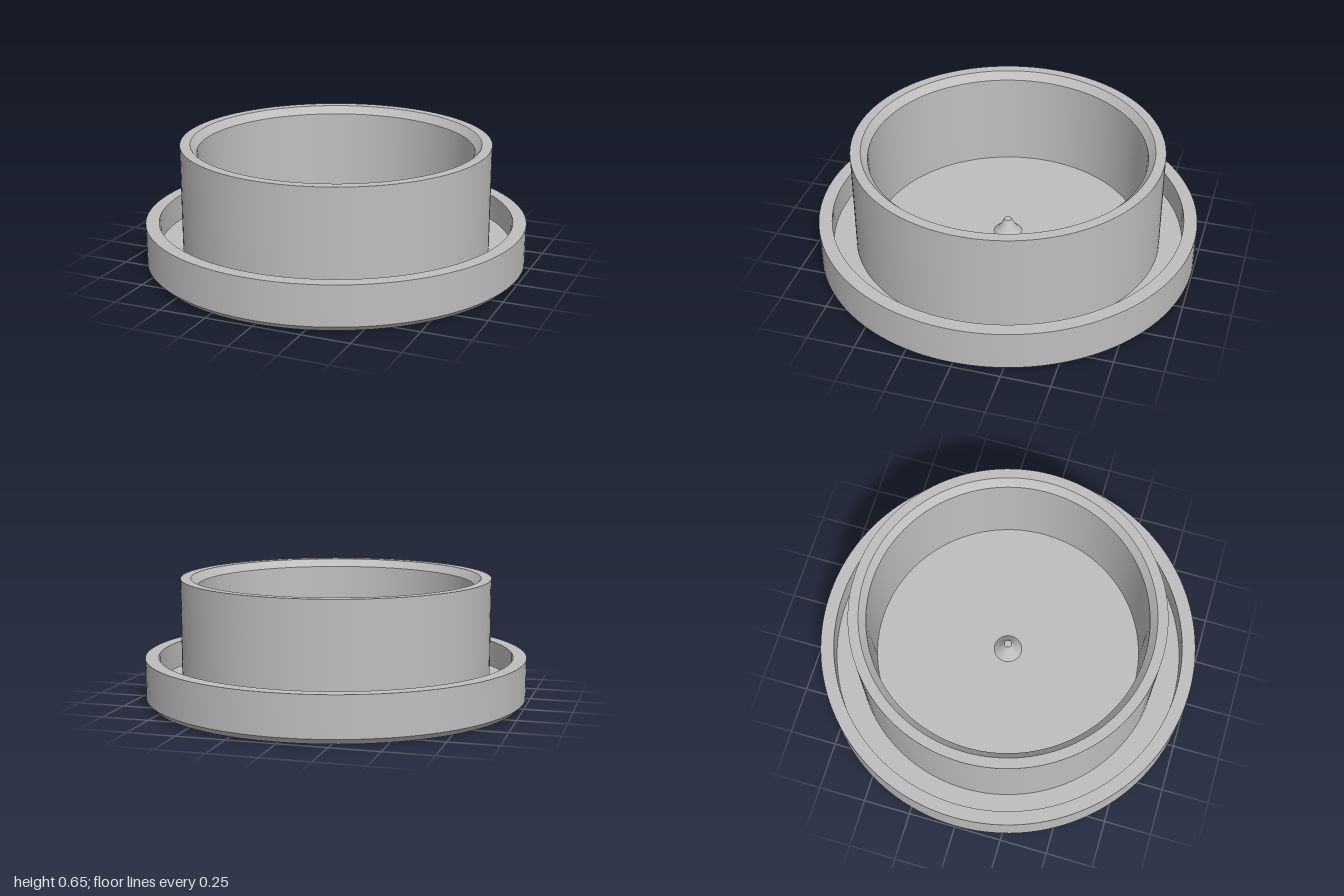
import * as THREE from 'three';
import { toCreasedNormals } from 'three/addons/utils/BufferGeometryUtils.js';

const FLOOR = 0.1;

export function createModel() {
  const model = new THREE.Group();
  model.name = 'flangedCap';
  const grey = new THREE.MeshStandardMaterial({ color: 0xbebebe });
  grey.name = 'plain grey';

  // Turns a profile of [radius, height] pairs around the y axis, keeping edges sharp
  function turned(name, profile, segments) {
    const points = profile.map(([r, y]) => new THREE.Vector2(r, y));
    const geometry = toCreasedNormals(new THREE.LatheGeometry(points, segments), 0.4);
    const mesh = new THREE.Mesh(geometry, grey);
    mesh.name = name;
    model.add(mesh);
  }

  // Base dish: chamfered underside, raised outer rim and flat floor
  turned('baseDish', [
    [0, 0], [0.97, 0], [1, 0.03], [1, 0.24],
    [0.93, 0.24], [0.93, FLOOR], [0, FLOOR],
  ], 128);

  // Cup wall: straight outside, chamfered mouth and slightly tapered bore
  turned('cupWall', [
    [0.81, FLOOR], [0.81, 0.65], [0.757, 0.65], [0.722, 0.61], [0.71, FLOOR],
  ], 128);

  // Small stepped point in the middle of the floor
  turned('centrePin', [
    [0.075, FLOOR], [0.045, FLOOR + 0.03], [0.02, FLOOR + 0.08], [0, FLOOR + 0.08],
  ], 32);

  return model;
}
